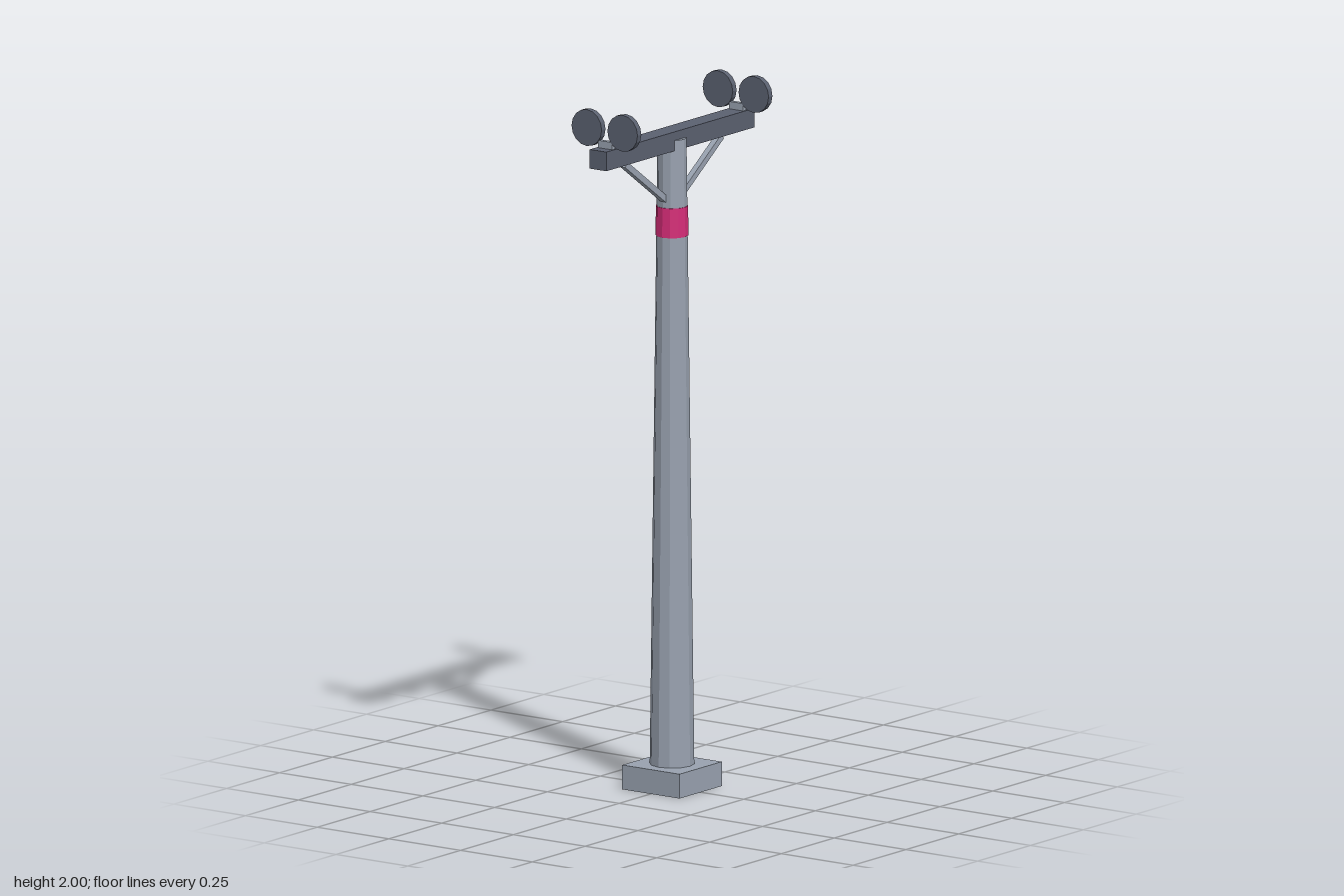
import * as THREE from 'three';

const paint = (name, color) => {
  const m = new THREE.MeshStandardMaterial({ color, flatShading: true });
  m.name = name;
  return m;
};

export function createModel() {
  const model = new THREE.Group();
  model.name = 'utilityPole';
  const concrete = paint('light grey', 0x99a2b0);
  const steel = paint('dark grey', 0x5b6170);
  const magenta = paint('magenta', 0xd62d78);

  const add = (name, geometry, material, x, y, z) => {
    const mesh = new THREE.Mesh(geometry, material);
    mesh.name = name;
    mesh.position.set(x, y, z);
    model.add(mesh);
    return mesh;
  };

  // Footing, tapered twelve-sided shaft and painted band
  add('footing', new THREE.BoxGeometry(0.2, 0.07, 0.2), concrete, 0, 0.035, 0);
  add('shaft', new THREE.CylinderGeometry(0.041, 0.063, 1.8, 12), concrete, 0, 0.97, 0);
  add('band', new THREE.CylinderGeometry(0.0455, 0.0465, 0.085, 12), magenta, 0, 1.6325, 0);

  // Crossarm
  add('crossarm', new THREE.BoxGeometry(0.7, 0.055, 0.058), steel, 0, 1.8675, 0);

  // Mirrored braces, brackets and paired insulator discs
  const disc = new THREE.CylinderGeometry(0.0525, 0.0525, 0.018, 16).rotateZ(Math.PI / 2);
  const bracket = new THREE.BoxGeometry(0.014, 0.022, 0.05);
  const inner = new THREE.Vector2(0.03, 1.695);
  const outer = new THREE.Vector2(0.228, 1.834);
  const run = outer.clone().sub(inner);
  for (const side of [-1, 1]) {
    const brace = add('brace', new THREE.BoxGeometry(run.length(), 0.018, 0.018), concrete,
      side * (inner.x + outer.x) / 2, (inner.y + outer.y) / 2, 0);
    brace.rotation.z = side * run.angle();
    add('discBracket', bracket, concrete, side * 0.31, 1.905, 0);
    for (const end of [-1, 1]) {
      add('insulatorDisc', disc, steel, side * 0.31, 1.9475, end * 0.0625);
    }
  }
  return model;
}
